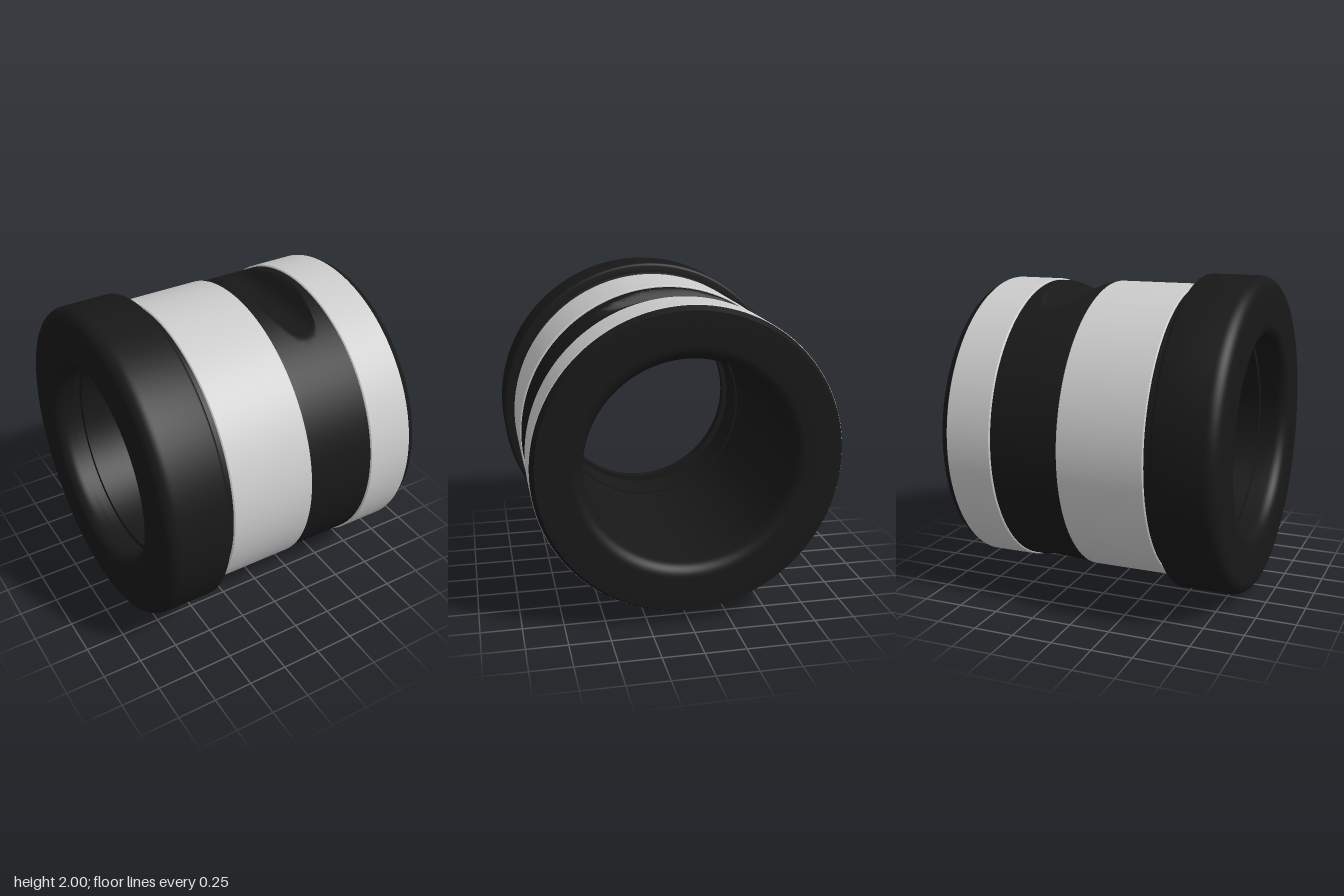
import * as THREE from 'three';
import { toCreasedNormals } from 'three/addons/utils/BufferGeometryUtils.js';

const SEGMENTS = 180;

// Points of a rounded corner, as [axial, radius], angles in degrees
function arc(cx, cr, r, from, to, steps = 8) {
  return Array.from({ length: steps + 1 }, (_, i) => {
    const a = THREE.MathUtils.degToRad(from + ((to - from) * i) / steps);
    return [cx + r * Math.cos(a), cr + r * Math.sin(a)];
  });
}

// Revolve an [axial, radius] profile about the x axis
function revolve(profile, reshape) {
  let g = new THREE.LatheGeometry(profile.map(([x, r]) => new THREE.Vector2(r, x)), SEGMENTS);
  g.rotateZ(-Math.PI / 2);
  if (reshape) reshape(g.attributes.position);
  g.scale(100, 100, 100); // keeps fine edges apart while normals are creased
  g = toCreasedNormals(g, 0.6);
  g.scale(0.01, 0.01, 0.01);
  g.translate(0, 1, 0);
  return g;
}

// Height of the straight cross grooves along the axis
const groove = new THREE.SplineCurve([
  [0.15, 0.93], [0.18, 0.903], [0.22, 0.86], [0.262, 0.818], [0.305, 0.8], [0.352, 0.795],
  [0.4, 0.805], [0.442, 0.836], [0.484, 0.898], [0.505, 0.92], [0.53, 0.93],
].map(([x, y]) => new THREE.Vector2(x, y))).getPoints(60);

function grooveHeight(x) {
  for (let i = 1; i < groove.length; i++) {
    const a = groove[i - 1], b = groove[i];
    if (x >= a.x && x <= b.x) return a.y + ((b.y - a.y) * (x - a.x)) / (b.x - a.x);
  }
  return Infinity;
}

// Flatten the top and bottom of the sleeve down to the groove
function cutGrooves(p) {
  for (let i = 0; i < p.count; i++) {
    const x = p.getX(i), y = p.getY(i);
    if (Math.hypot(y, p.getZ(i)) < 0.9) continue;
    const h = grooveHeight(x);
    if (Math.abs(y) > h) p.setY(i, Math.sign(y) * h);
  }
}

export function createModel() {
  const group = new THREE.Group();
  const dark = new THREE.MeshStandardMaterial({ color: 0x181818 });
  const grey = new THREE.MeshStandardMaterial({ color: 0xcccccc });
  const add = (name, geometry, material) => {
    const mesh = new THREE.Mesh(geometry, material);
    mesh.name = name;
    group.add(mesh);
  };

  // Outer skin: rounded flange, neck, sleeve and end chamfer
  const sleeve = Array.from({ length: 49 }, (_, i) => [0.14 + (0.4 * i) / 48, 0.923]);
  const outer = [
    ...arc(-0.81, 0.92, 0.08, 180, 90),
    ...arc(-0.51, 0.98, 0.02, 90, 0, 4),
    [-0.49, 0.938], [-0.478, 0.938], [-0.475, 0.923],
    ...sleeve,
    [0.84, 0.923], [0.842, 0.931], [0.885, 0.907],
  ];
  // Bore: rounded mouths, seal groove and shallow recesses
  const bore = [
    ...arc(0.805, 0.702, 0.08, 0, -90),
    [0.59, 0.622], [0.59, 0.635], [0.34, 0.635], [0.34, 0.645],
    [-0.44, 0.645], [-0.44, 0.635], [-0.69, 0.635],
    [-0.69, 0.67], [-0.76, 0.67], [-0.76, 0.622],
    ...arc(-0.81, 0.702, 0.08, -90, -180),
  ];
  add('flangedSleeve', revolve([...outer, ...bore, outer[0]], cutGrooves), dark);

  // Bright bands around the sleeve
  for (const [name, a, b] of [['wideBand', -0.435, 0.108], ['narrowBand', 0.545, 0.842]]) {
    add(name, revolve([
      [a, 0.92], [a, 0.928], [a + 0.006, 0.934], [b - 0.006, 0.934], [b, 0.928], [b, 0.92],
    ]), grey);
  }
  return group;
}
